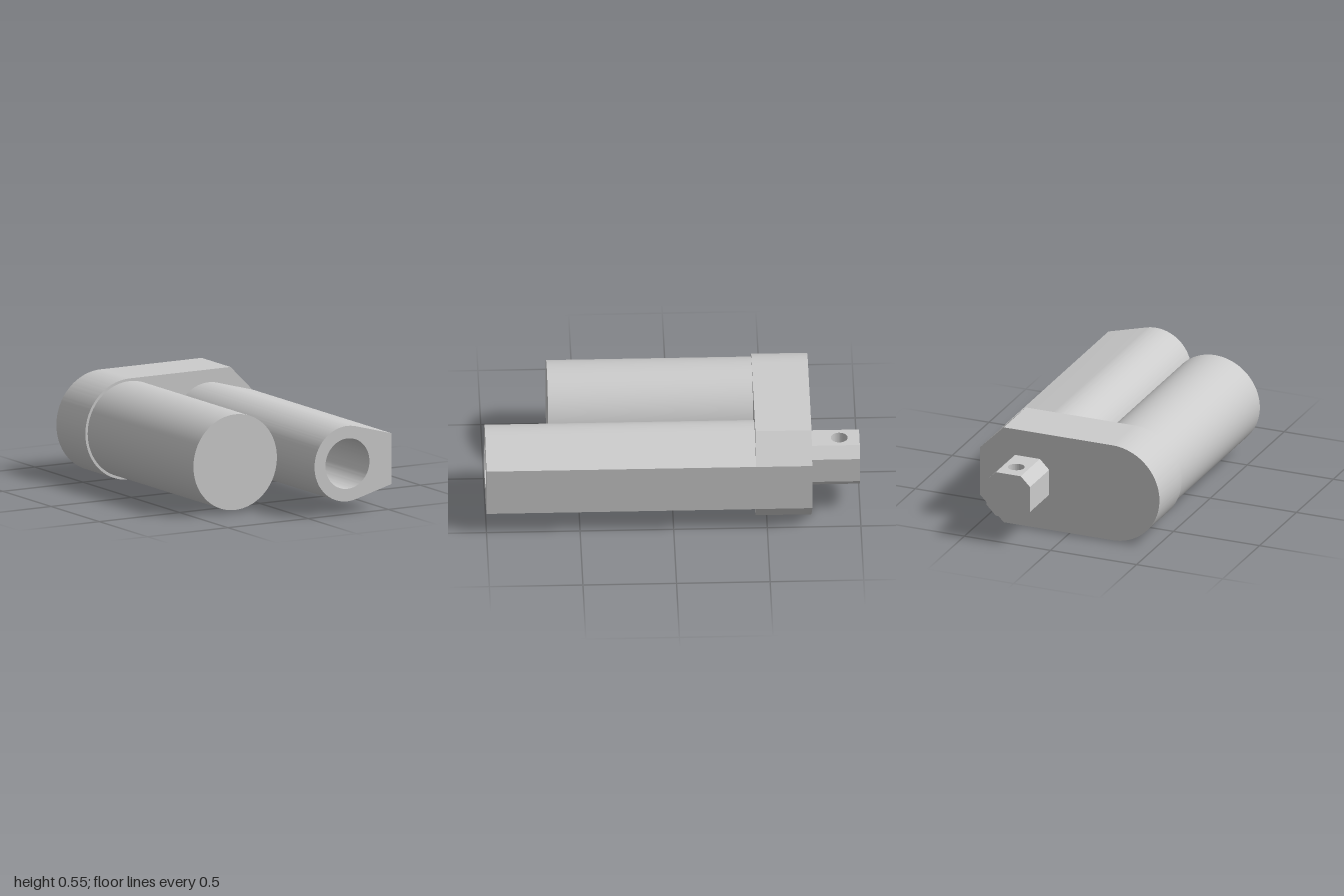
import * as THREE from 'three';
import { toCreasedNormals } from 'three/addons/utils/BufferGeometryUtils.js';

const CY = 0.2745;               // shared centre height
const MOTOR_X = -0.247, TUBE_X = 0.245;
const PLATE_BACK = -0.74, PLATE_FRONT = -0.44;

const material = new THREE.MeshStandardMaterial({ color: 0xcccccc });

function extrude(shape, depth) {
  const geometry = new THREE.ExtrudeGeometry(shape, { depth, bevelEnabled: false, curveSegments: 48 });
  return toCreasedNormals(geometry, 0.3);
}

function part(name, geometry) {
  const mesh = new THREE.Mesh(geometry, material);
  mesh.name = name;
  return mesh;
}

// Prism whose outline lies in x-y and which runs from z0 to z1
function prism(name, shape, z0, z1) {
  const mesh = part(name, extrude(shape, z1 - z0));
  mesh.position.z = z0;
  return mesh;
}

function circlePath(Type, x, y, r) {
  return new Type().absarc(x, y, r, 0, Math.PI * 2, false);
}

function polygon(points) {
  return new THREE.Shape(points.map(([x, y]) => new THREE.Vector2(x, y)));
}

export function createModel() {
  const model = new THREE.Group();

  // Gearbox plate: round on one side, chamfered corners on the other
  const plate = new THREE.Shape();
  plate.moveTo(0.383, 0);
  plate.lineTo(0.52, 0.137);
  plate.lineTo(0.52, 0.412);
  plate.lineTo(0.383, 2 * CY);
  plate.absarc(MOTOR_X, CY, CY, Math.PI / 2, Math.PI * 1.5, false);
  plate.closePath();
  model.add(prism('gearboxPlate', plate, PLATE_BACK, PLATE_FRONT));

  // Round motor housing
  model.add(prism('motorHousing', circlePath(THREE.Shape, MOTOR_X, CY, 0.26), PLATE_FRONT, 0.655));

  // Bored guide tube: round body tapering tangentially to a flat outer face
  const tube = new THREE.Shape();
  const tangent = THREE.MathUtils.degToRad(75);
  tube.moveTo(0.52, CY - 0.138);
  tube.lineTo(0.52, CY + 0.138);
  tube.absarc(TUBE_X, CY, 0.205, tangent, Math.PI * 2 - tangent, false);
  tube.closePath();
  tube.holes.push(circlePath(THREE.Path, TUBE_X, CY, 0.137));
  model.add(prism('guideTube', tube, PLATE_FRONT, 1));

  // Rear mounting lug: octagonal block made of a drilled core and two chamfered sides
  const lug = new THREE.Group();
  lug.name = 'mountingLug';
  const half = 0.126, flat = 0.072;
  const core = polygon([
    [TUBE_X - flat, -PLATE_BACK], [TUBE_X + flat, -PLATE_BACK],
    [TUBE_X + flat, 1], [TUBE_X - flat, 1],
  ]);
  core.holes.push(circlePath(THREE.Path, TUBE_X, 0.892, 0.045));
  const coreMesh = part('lugCore', extrude(core, half * 2));
  coreMesh.rotation.x = -Math.PI / 2;
  coreMesh.position.y = CY - half;
  lug.add(coreMesh);
  for (const side of [1, -1]) {
    const cheek = polygon([
      [TUBE_X + side * flat, CY - half], [TUBE_X + side * half, CY - flat],
      [TUBE_X + side * half, CY + flat], [TUBE_X + side * flat, CY + half],
    ]);
    lug.add(prism(side > 0 ? 'lugLeftSide' : 'lugRightSide', cheek, -1, PLATE_BACK));
  }
  model.add(lug);

  return model;
}
